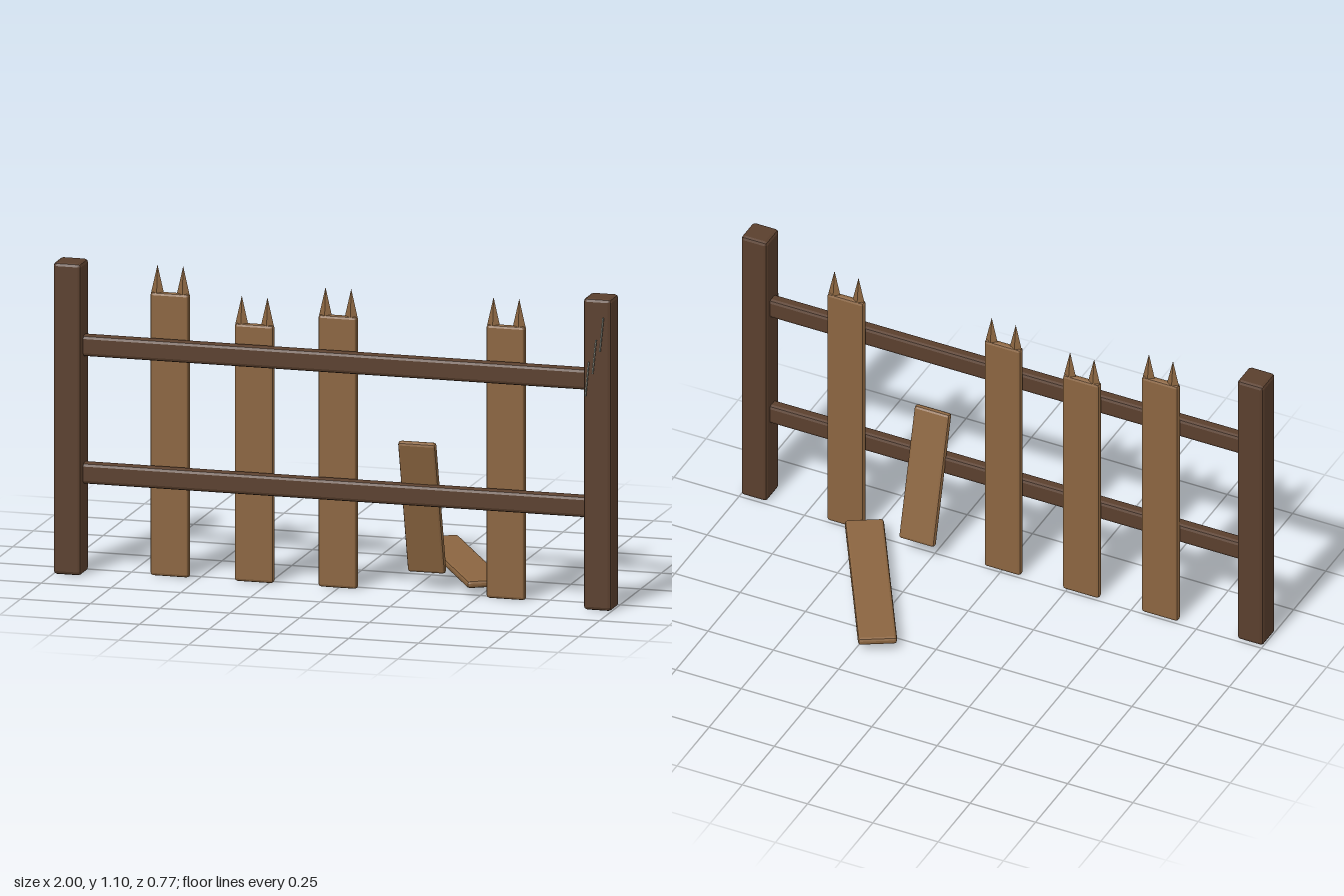
import * as THREE from 'three';
import { RoundedBoxGeometry } from 'three/addons/geometries/RoundedBoxGeometry.js';

const darkWood = new THREE.MeshStandardMaterial({ color: 0x5a3f2d });
darkWood.name = 'darkWood';
const plankWood = new THREE.MeshStandardMaterial({ color: 0x8b6540 });
plankWood.name = 'plankWood';
const paleMetal = new THREE.MeshStandardMaterial({ color: 0xa9aa9c });
paleMetal.name = 'paleMetal';

// Box with bevelled edges and flat facets
function beam(name, w, h, d, bevel, material) {
  const geometry = new RoundedBoxGeometry(w, h, d, 1, bevel);
  geometry.computeVertexNormals();
  const mesh = new THREE.Mesh(geometry, material);
  mesh.name = name;
  return mesh;
}

// Upright plank with two splintered points on its broken top
function picket(x, height) {
  const group = new THREE.Group();
  group.name = 'picket';
  const board = beam('picketBoard', 0.14, height, 0.027, 0.01, plankWood);
  board.position.y = height / 2;
  group.add(board);
  for (const side of [-1, 1]) {
    const cone = new THREE.ConeGeometry(0.023, 0.1, 4).toNonIndexed();
    cone.scale(1, 1, 0.5);
    cone.computeVertexNormals();
    const splinter = new THREE.Mesh(cone, plankWood);
    splinter.name = 'splinter';
    splinter.position.set(side * 0.046, height + 0.046, 0);
    group.add(splinter);
  }
  group.position.set(x, 0, 0.271);
  return group;
}

export function createModel() {
  const fence = new THREE.Group();
  fence.name = 'brokenFence';

  // End posts
  for (const side of [-1, 1]) {
    const post = beam('post', 0.1, 1.1, 0.1, 0.012, darkWood);
    post.position.set(side * 0.95, 0.55, 0.31);
    fence.add(post);
  }

  // Horizontal rails
  for (const y of [0.355, 0.805]) {
    const rail = beam('rail', 1.84, 0.074, 0.045, 0.012, darkWood);
    rail.position.set(0, y, 0.308);
    fence.add(rail);
  }

  // Standing pickets
  for (const [x, height] of [[-0.605, 1.0], [-0.303, 0.91], [-0.003, 0.96], [0.599, 0.965]]) {
    fence.add(picket(x, height));
  }

  // Loose plank leaning on the lower rail
  const leaning = beam('leaningPlank', 0.135, 0.5, 0.027, 0.01, plankWood);
  leaning.position.set(0.297, 0.303, 0.27);
  leaning.rotation.x = 0.25;
  fence.add(leaning);

  // Plank lying behind the fence
  const fallen = beam('fallenPlank', 0.135, 0.027, 0.7, 0.01, plankWood);
  fallen.position.set(0.348, 0.043, -0.049);
  fallen.rotation.y = Math.PI / 6;
  fence.add(fallen);

  // Thin wire barbs in front of the left post
  for (let i = 0; i < 3; i++) {
    const barb = new THREE.Mesh(new THREE.BoxGeometry(0.004, 0.12, 0.009), paleMetal);
    barb.name = 'wireBarb';
    barb.position.set(0.92 + i * 0.026, 0.82 + i * 0.08, 0.38);
    barb.rotation.z = -0.1;
    fence.add(barb);
  }

  return fence;
}
